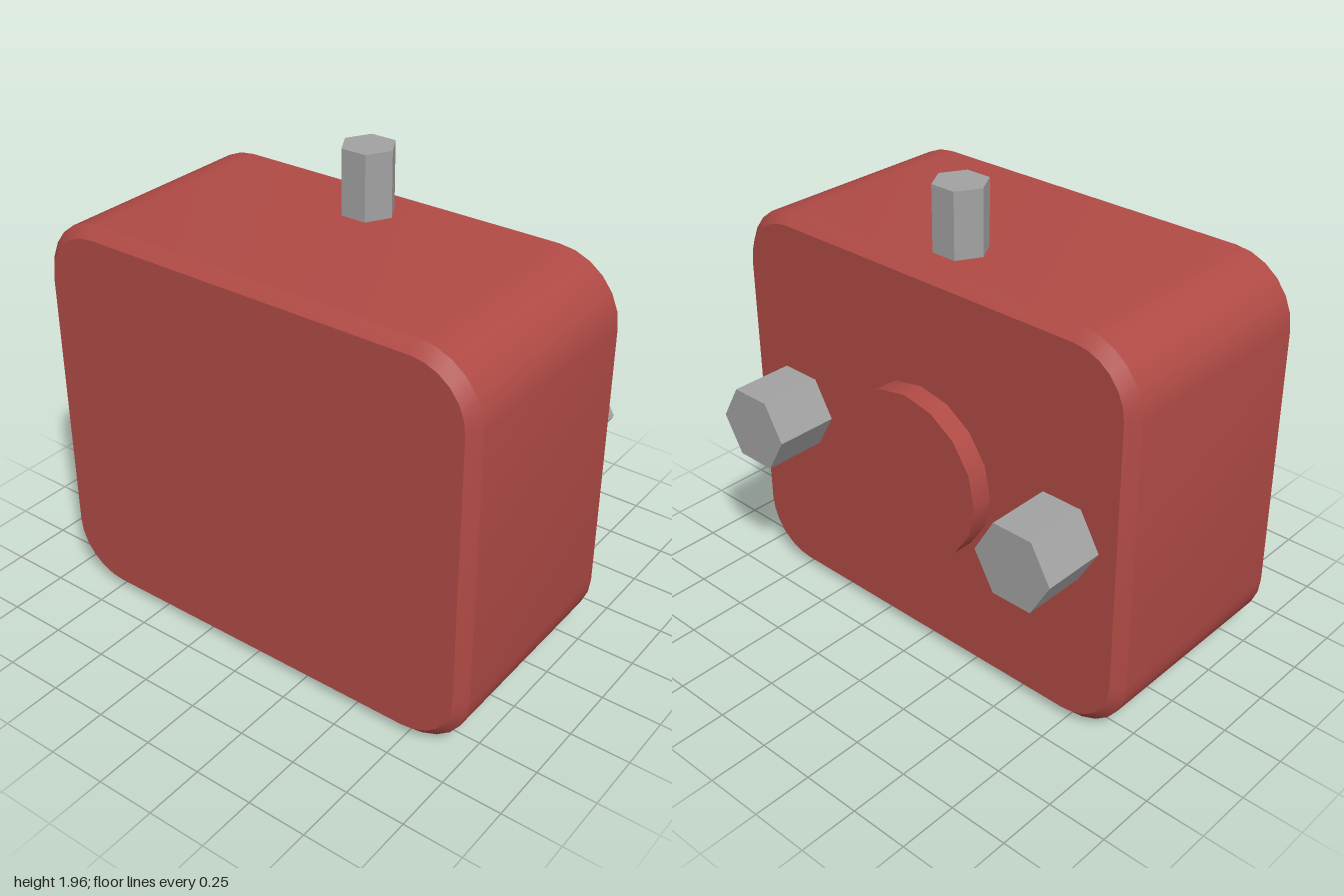
import * as THREE from 'three';
import { toCreasedNormals } from 'three/addons/utils/BufferGeometryUtils.js';

const red = new THREE.MeshStandardMaterial({ color: 0xb04a45 });
const grey = new THREE.MeshStandardMaterial({ color: 0xa2a2a2, flatShading: true });

const MID_Y = 0.845, BACK = -0.635, FACE = 0.362;

function addMesh(group, name, geometry, material, x, y, z) {
  const mesh = new THREE.Mesh(geometry, material);
  mesh.name = name;
  mesh.position.set(x, y, z);
  group.add(mesh);
}

// Rounded rectangle with three-sided corners
function roundedRect(hw, hh, r) {
  const s = new THREE.Shape();
  s.absarc(hw - r, hh - r, r, 0, Math.PI / 2);
  s.absarc(r - hw, hh - r, r, Math.PI / 2, Math.PI);
  s.absarc(r - hw, r - hh, r, Math.PI, Math.PI * 1.5);
  s.absarc(hw - r, r - hh, r, Math.PI * 1.5, Math.PI * 2);
  s.closePath();
  return s;
}

// Cylinder lying along x, starting at x = 0
function xCylinder(radius, length, sides) {
  return new THREE.CylinderGeometry(radius, radius, length, sides)
    .rotateZ(-Math.PI / 2)
    .translate(length / 2, 0, 0);
}

export function createModel() {
  const group = new THREE.Group();
  group.name = 'housingWithBolts';

  // Chamfered housing
  const bevel = 0.045;
  const body = new THREE.ExtrudeGeometry(roundedRect(1 - bevel, MID_Y - bevel, 0.225), {
    depth: FACE - BACK - 2 * bevel,
    curveSegments: 3,
    bevelEnabled: true,
    bevelSegments: 1,
    bevelSize: bevel,
    bevelThickness: bevel,
  });
  body.rotateY(Math.PI / 2);
  addMesh(group, 'housing', toCreasedNormals(body, 0.6), red, BACK + bevel, MID_Y, 0);

  // Round raised boss
  const sunk = 0.02;
  addMesh(group, 'boss', xCylinder(0.355, 0.452 - FACE + sunk, 16), red, FACE - sunk, MID_Y, 0);

  // Pair of hexagonal bolts
  for (const side of [1, -1]) {
    addMesh(group, side > 0 ? 'frontBolt' : 'backBolt',
      xCylinder(0.176, 0.632 - FACE + sunk, 6), grey, FACE - sunk, MID_Y, side * 0.7);
  }

  // Hexagonal stem on top
  const stemTop = 1.96, stemBase = 1.67;
  addMesh(group, 'topStem', new THREE.CylinderGeometry(0.111, 0.111, stemTop - stemBase, 6),
    grey, 0.132, (stemTop + stemBase) / 2, 0);

  return group;
}
